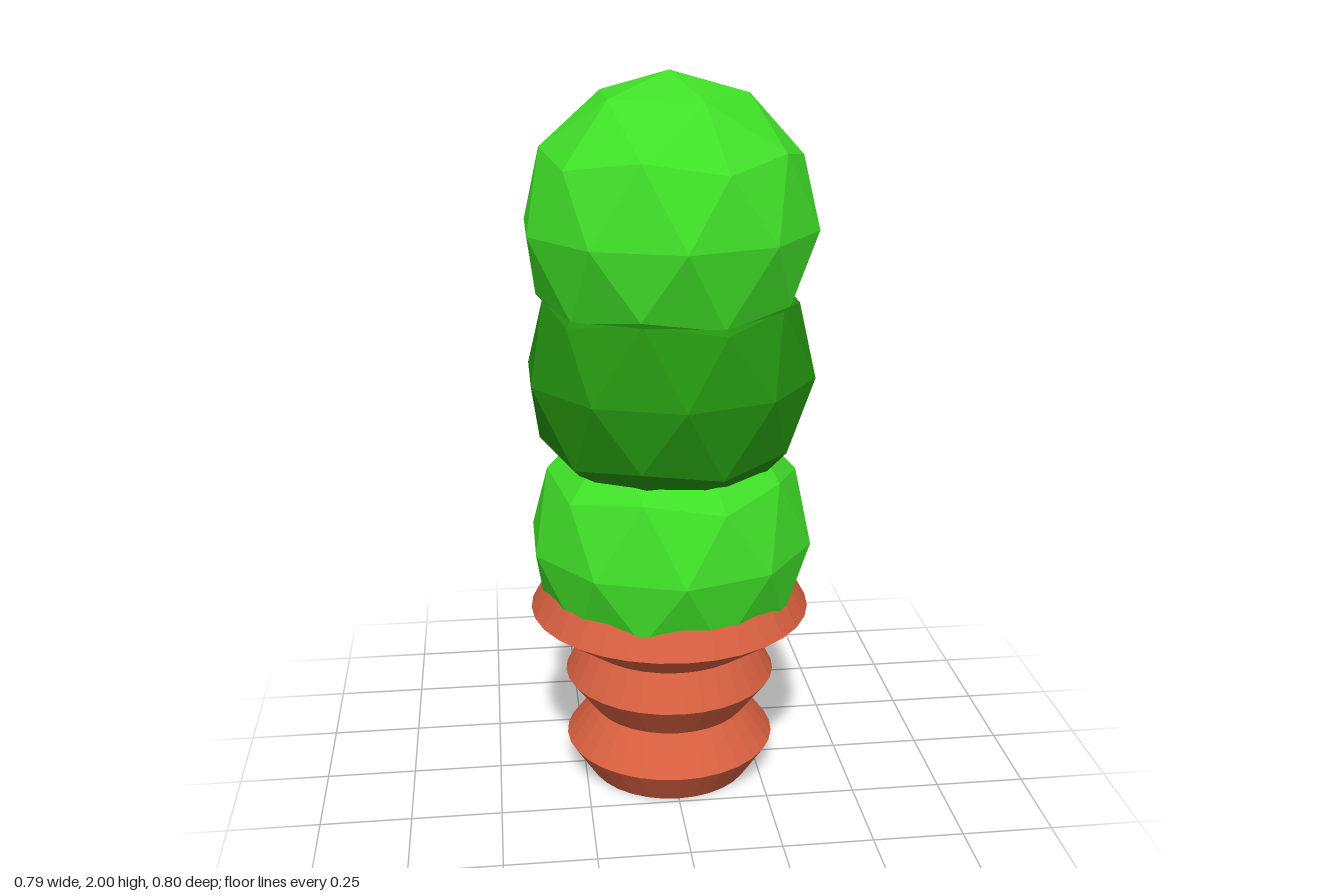
import * as THREE from 'three';

const lightGreen = new THREE.MeshStandardMaterial({ color: 0x40e028 });
lightGreen.name = 'lightGreen';
const darkGreen = new THREE.MeshStandardMaterial({ color: 0x249410 });
darkGreen.name = 'darkGreen';
const terracotta = new THREE.MeshStandardMaterial({ color: 0xd86040 });
terracotta.name = 'terracotta';

// Gives every face its own normal
function faceted(geometry) {
  const flat = geometry.index ? geometry.toNonIndexed() : geometry;
  flat.computeVertexNormals();
  return flat;
}

function addPart(group, name, geometry, material, y = 0) {
  const mesh = new THREE.Mesh(faceted(geometry), material);
  mesh.name = name;
  mesh.position.y = y;
  group.add(mesh);
}

export function createModel() {
  const group = new THREE.Group();
  group.name = 'pottedPlant';

  // Zigzag pot: [radius, height], closed at both ends
  const profile = [
    [0, 0], [0.235, 0], [0.3, 0.1], [0.223, 0.203], [0.3, 0.305],
    [0.249, 0.405], [0.395, 0.51], [0.34, 0.61], [0, 0.61],
  ].map(([r, y]) => new THREE.Vector2(r, y));
  addPart(group, 'pot', new THREE.LatheGeometry(profile, 32), terracotta);

  // Three overlapping faceted balls, each with a corner pointing straight up
  const tilt = -Math.atan(2 / (1 + Math.sqrt(5)));
  const balls = [
    ['lowerBall', 0.72, lightGreen],
    ['middleBall', 1.2, darkGreen],
    ['topBall', 1.6, lightGreen],
  ];
  for (const [name, y, material] of balls) {
    const ball = new THREE.IcosahedronGeometry(0.4, 1).rotateZ(tilt);
    addPart(group, name, ball, material, y);
  }
  return group;
}
